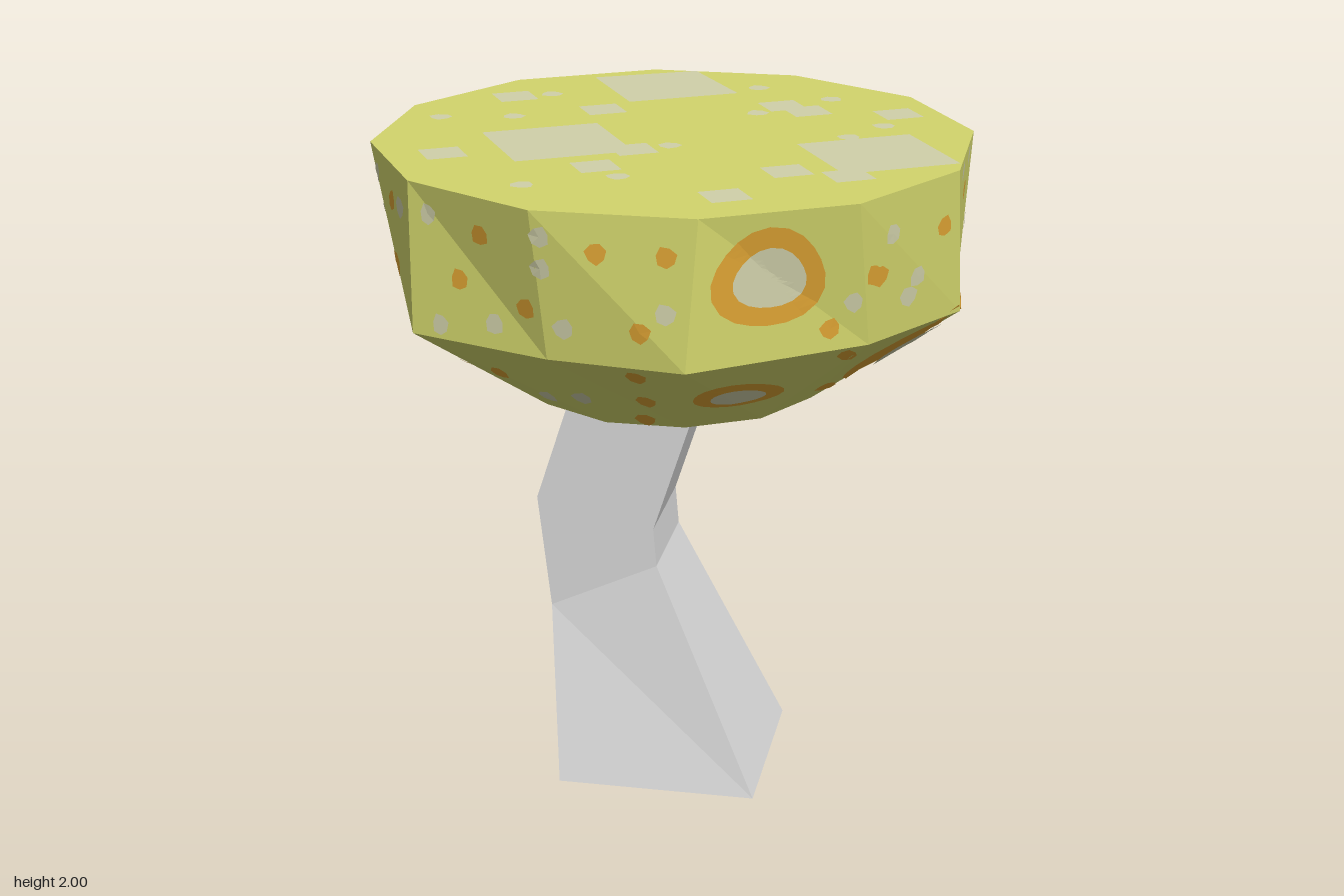
import * as THREE from 'three';
import { mergeGeometries } from 'three/addons/utils/BufferGeometryUtils.js';

const mat = (name, color) => {
  const m = new THREE.MeshStandardMaterial({ color });
  m.name = name;
  return m;
};

// Faceted skin over rings of [x, y, z], listed from bottom to top
function loft(rings) {
  const pos = [];
  for (let r = 0; r < rings.length - 1; r++) {
    const lo = rings[r], hi = rings[r + 1], n = lo.length;
    for (let i = 0; i < n; i++) {
      const j = (i + 1) % n;
      pos.push(...lo[i], ...lo[j], ...hi[i], ...lo[j], ...hi[j], ...hi[i]);
    }
  }
  return fromTriangles(pos);
}

function fromTriangles(pos) {
  const g = new THREE.BufferGeometry();
  g.setAttribute('position', new THREE.Float32BufferAttribute(pos, 3));
  g.computeVertexNormals();
  return g;
}

const circle = (r, y, cx = 0, cz = 0) => Array.from({ length: 12 }, (_, i) => {
  const a = (15 + 30 * i) * Math.PI / 180;
  return [cx + r * Math.sin(a), y, cz + r * Math.cos(a)];
});

export function createModel() {
  const model = new THREE.Group();
  const capMat = mat('yellowGreen', 0xd2d56c);
  const stemMat = mat('paleGrey', 0xdadada);
  const greyMat = mat('spotGrey', 0xd0d0aa);
  const orangeMat = mat('spotOrange', 0xdca233);
  const add = (name, geo, material) => {
    const m = new THREE.Mesh(geo, material);
    m.name = name;
    model.add(m);
    return m;
  };

  // Bent four-sided stem: right x, right y, left x, left y, half depth
  const stemRings = [
    [0, 0, 0, 0, 0], [0.295, 0, -0.315, 0, 0.305], [-0.03, 0.7, -0.36, 0.545, 0.18],
    [-0.04, 0.82, -0.4, 0.9, 0.18], [0.11, 1.28, -0.27, 1.3, 0.18],
  ].map(([rx, ry, lx, ly, d]) => [
    [rx, ry, d - 0.01], [rx, ry, -d - 0.01], [lx, ly, -d - 0.01], [lx, ly, d - 0.01],
  ]);
  add('stem', loft(stemRings), stemMat);

  // Twelve-sided cap with an uneven rim
  const rim = [
    [0.19, 0.87], [0.64, 0.53], [0.86, 0.18], [0.82, -0.21], [0.6, -0.71], [0.22, -0.8],
    [-0.22, -0.8], [-0.62, -0.62], [-0.82, -0.2], [-0.75, 0.2], [-0.62, 0.67], [-0.2, 0.82],
  ].map(([x, z]) => [x, 1.575, z]);
  const cap = add('cap', loft([
    circle(0, 1.163, 0.01, -0.01), circle(0.2, 1.195), circle(0.45, 1.255, -0.01, -0.01), rim,
    circle(0.887, 1.997, -0.01, -0.015), circle(0, 1.997, -0.01, -0.015),
  ]), capMat);
  cap.updateMatrixWorld();

  // Thin patch laid on the cap by projecting an outline; yaw 'top' projects straight down
  const caster = new THREE.Raycaster();
  const up = new THREE.Vector3(0, 1, 0);
  function patch(yaw, cx, cy, rx, ry, { sides = 7, steps = 1, turn = 0.3, wobble = 0.1, lift = 0.004 } = {}) {
    const hit = (u, v) => {
      for (let s = 1; s > 0; s -= 0.05) {
        const h = cx + u * s, k = cy + v * s;
        const o = new THREE.Vector3(), d = new THREE.Vector3();
        if (yaw === 'top') { o.set(h, 3, k); d.set(0, -1, 0); }
        else {
          o.set(h, k, 3).applyAxisAngle(up, yaw);
          d.set(0, 0, -1).applyAxisAngle(up, yaw);
        }
        caster.set(o, d);
        const f = caster.intersectObject(cap)[0];
        if (f) return f.point.addScaledVector(f.face.normal, yaw === 'top' ? 0.003 : lift).toArray();
      }
      return null;
    };
    const rings = [];
    for (let k = 0; k <= steps; k++) {
      const s = 1 - k / steps, ring = [];
      for (let i = 0; i < sides; i++) {
        const a = turn + i / sides * Math.PI * 2;
        const w = s * (1 + wobble * Math.sin(3 * a + cx * 9));
        // Outline runs counter-clockwise as seen along the projection
        ring.push(hit(Math.cos(a) * rx * w, (yaw === 'top' ? -1 : 1) * Math.sin(a) * ry * w));
      }
      rings.push(ring);
    }
    return rings.flat().every(Boolean) ? loft(rings) : null;
  }
  const addPatches = (name, list, material) => add(name, mergeGeometries(list.filter(Boolean)), material);

  // Square patches and flecks on the flat top
  const top = [];
  const square = (x, z, side) => top.push(patch('top', x, z, side * 0.707, side * 0.707,
    { sides: 4, turn: Math.PI / 4 + Math.PI / 6, wobble: 0 }));
  [[-0.16, -0.645], [-0.33, 0.125], [0.6, 0.085]].forEach(([x, z]) => square(x, z, 0.355));
  [[-0.59, -0.405], [-0.285, -0.29], [0.605, -0.4], [-0.62, 0.315], [-0.16, 0.375], [0.375, 0.325],
    [0.25, 0.61], [0.245, -0.44], [0.33, -0.385], [-0.095, 0.17], [0.55, 0.34]]
    .forEach(([x, z]) => square(x, z, 0.118));
  [[-0.485, -0.46], [-0.745, -0.105], [-0.53, -0.155], [0.135, -0.665], [0.38, -0.555], [0.58, -0.245],
    [0, 0.105], [-0.075, 0.47], [-0.315, 0.605], [0.495, -0.09], [0.185, -0.335]]
    .forEach(([x, z]) => top.push(patch('top', x, z, 0.034, 0.034)));
  addPatches('topPatches', top, greyMat);

  // Ringed spots: yaw, x, y, outer half width and height, inner half width and height
  const R = Math.PI / 2, outer = [], inner = [];
  [
    [0, 0.39, 1.81, 0.14, 0.14, 0.09, 0.085],
    [0, 0.28, 1.42, 0.115, 0.06, 0.07, 0.035],
    [0, -0.57, 1.415, 0.09, 0.075, 0.06, 0.045],
    [R, -0.03, 1.475, 0.28, 0.15, 0.19, 0.11],
    [R, 0.575, 1.42, 0.09, 0.07, 0.06, 0.045],
    [R * 1.5, 0.21, 1.815, 0.115, 0.09, 0.06, 0.05],
    [R * 1.95, 0, 1.4, 0.2, 0.11, 0.13, 0.075],
    [-R * 1.5, 0.19, 1.8, 0.155, 0.11, 0.1, 0.07],
    [-R * 1.5, -0.08, 1.42, 0.15, 0.09, 0.1, 0.06],
  ].forEach(([yaw, x, y, ow, oh, iw, ih]) => {
    outer.push(patch(yaw, x, y, ow, oh, { sides: 20, steps: 6, wobble: 0.05 }));
    inner.push(patch(yaw, x, y, iw, ih, { sides: 20, steps: 6, wobble: 0.05, lift: 0.009 }));
  });
  addPatches('spotRings', outer, orangeMat);
  addPatches('spotCentres', inner, greyMat);

  // Small flecks on the wall and underside
  const frontOrange = [[-0.4, 1.89], [-0.055, 1.89], [-0.47, 1.75], [-0.71, 1.73], [-0.26, 1.71],
    [0.066, 1.68], [0.135, 1.89], [0.54, 1.64], [0.66, 1.77], [0.04, 1.53], [0.03, 1.395],
    [0, 1.29], [-0.4, 1.44], [0.48, 1.325], [0.58, 1.54]];
  const frontGrey = [[-0.68, 1.9], [-0.57, 1.915], [-0.21, 1.925], [-0.21, 1.835], [0.135, 1.735],
    [-0.15, 1.67], [-0.36, 1.645], [-0.53, 1.615], [0.6, 1.71], [0.73, 1.68], [-0.16, 1.385], [-0.28, 1.35]];
  const rightOrange = [[-0.54, 1.78], [-0.27, 1.85], [0.025, 1.88], [0.065, 1.66], [0.46, 1.895],
    [0.525, 1.715], [0.65, 1.66], [0.39, 1.45], [0.22, 1.32]];
  const rightGrey = [[-0.48, 1.88], [-0.09, 1.965], [0.09, 1.965], [-0.37, 1.73], [-0.15, 1.655],
    [0.22, 1.735], [0.3, 1.93], [0.37, 1.83], [0.43, 1.645]];
  const flecks = (...sets) => sets.flatMap(([yaw, pts, limit]) => pts
    .filter(([x]) => Math.abs(x) < limit)
    .map(([x, y]) => patch(yaw, x, y, 0.03 * Math.sqrt(1 - x * x), 0.03, { lift: 0.003 })));
  addPatches('orangeFlecks', flecks([0, frontOrange, 1], [R, rightOrange, 1],
    [2 * R, frontOrange, 0.45], [-R, rightOrange, 0.6]), orangeMat);
  addPatches('greyFlecks', flecks([0, frontGrey, 1], [R, rightGrey, 1],
    [2 * R, frontGrey, 0.45], [-R, rightGrey, 0.6]), greyMat);

  return model;
}
